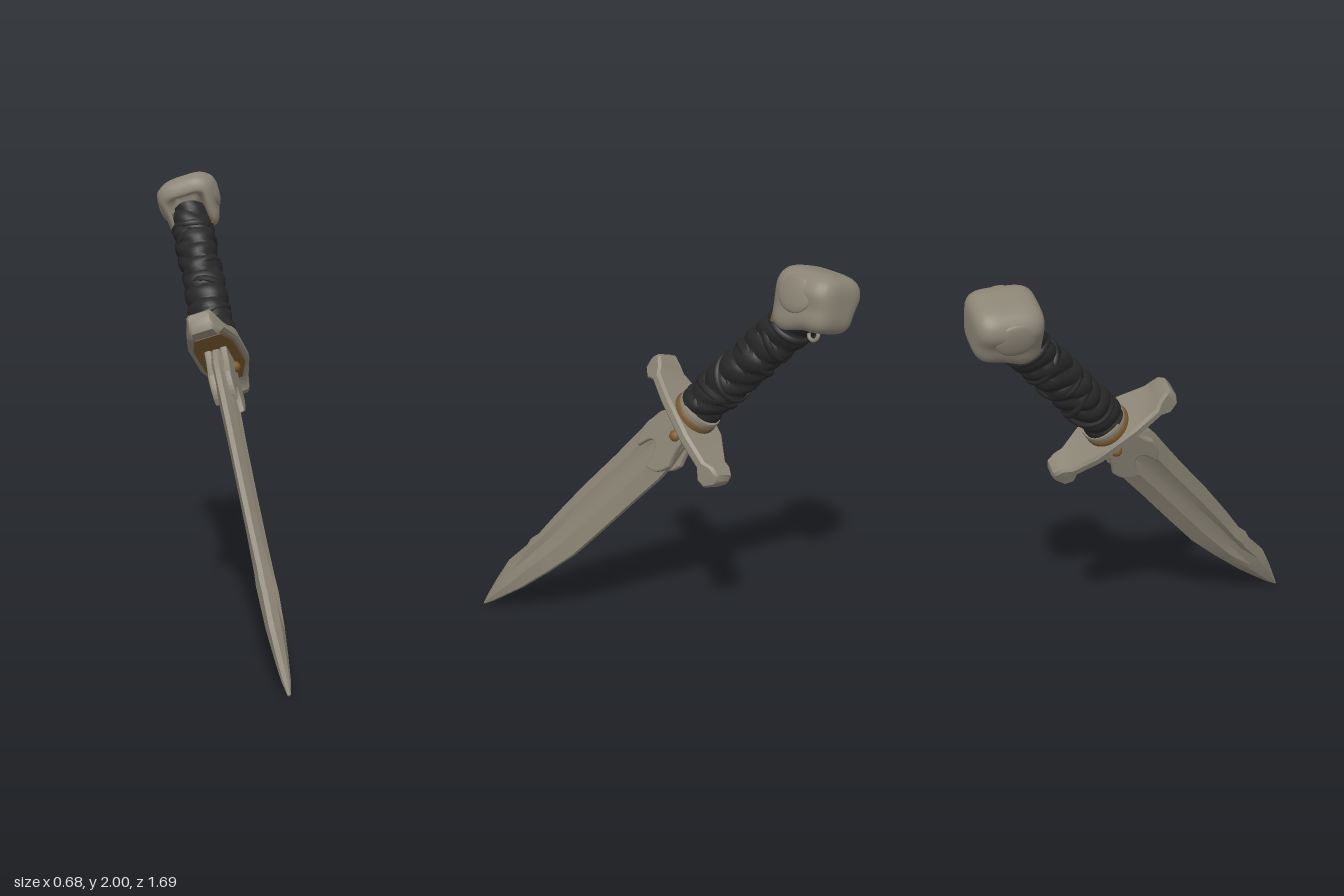
import * as THREE from 'three';
import { toCreasedNormals } from 'three/addons/utils/BufferGeometryUtils.js';

const mat = (name, color) => Object.assign(new THREE.MeshStandardMaterial({ color }), { name });

// Skin a list of closed rings (arrays of [x, y, z]), cap both ends, face outward
function loft(rings, crease = 0.6) {
  const n = rings[0].length, pos = rings.flat(2), idx = [];
  for (let r = 0; r < rings.length - 1; r++) {
    for (let i = 0; i < n; i++) {
      const a = r * n + i, b = r * n + (i + 1) % n;
      idx.push(a, b, b + n, a, b + n, a + n);
    }
  }
  [0, rings.length - 1].forEach((r, end) => {
    const c = pos.length / 3;
    pos.push(...[0, 1, 2].map(k => rings[r].reduce((s, p) => s + p[k], 0) / n));
    for (let i = 0; i < n; i++) {
      const a = r * n + i, b = r * n + (i + 1) % n;
      idx.push(...(end ? [c, a, b] : [c, b, a]));
    }
  });
  let vol = 0;
  const p = i => new THREE.Vector3().fromArray(pos, i * 3);
  for (let i = 0; i < idx.length; i += 3) vol += p(idx[i]).dot(p(idx[i + 1]).cross(p(idx[i + 2])));
  if (vol < 0) idx.reverse();
  const g = new THREE.BufferGeometry();
  g.setAttribute('position', new THREE.Float32BufferAttribute(pos, 3));
  g.setIndex(idx);
  return toCreasedNormals(g, crease);
}

export function createModel() {
  const steel = mat('weathered steel', 0x8c8576);
  const leather = mat('black leather', 0x272727);
  const bronze = mat('bronze', 0x7a5a30);

  const dagger = new THREE.Group();
  dagger.name = 'dagger';
  const add = (name, geo, material, parent = dagger) => {
    const m = new THREE.Mesh(geo, material);
    m.name = name;
    parent.add(m);
    return m;
  };

  // Blade: [distance from guard, front edge, back edge, half thickness]
  const blade = [
    [0.02, 0.075, 0.075, 0.042], [0.12, 0.12, 0.085, 0.045], [0.2, 0.124, 0.105, 0.042],
    [0.3, 0.118, 0.117, 0.034], [0.46, 0.11, 0.117, 0.031], [0.72, 0.104, 0.121, 0.03],
    [0.95, 0.09, 0.122, 0.031], [1.1, 0.076, 0.106, 0.034], [1.16, 0.084, 0.1, 0.037],
    [1.2, 0.073, 0.093, 0.037], [1.35, 0.078, 0.072, 0.033], [1.47, 0.05, 0.046, 0.026],
    [1.57, 0.022, 0.024, 0.018], [1.635, 0.004, 0.006, 0.006],
  ];
  add('blade', loft(blade.map(([s, f, b, t], i) => {
    const e = Math.min(0.011, t * 0.5);
    const groove = i < 10 ? t * 0.55 : t;
    const half = [[e, f], [t, f * 0.5], [groove, f * 0.2], [groove, -b * 0.12], [t, -b * 0.42], [e, -b]];
    const ring = [...half, ...half.map(([x, z]) => [-x, z]).reverse()];
    return ring.map(([x, z]) => [x, -s, z]);
  }), 0.45), steel);

  // Raised, curled langets on both faces of the blade root
  const lang = new THREE.Shape();
  lang.moveTo(-0.07, 0);
  lang.lineTo(0.075, 0);
  lang.quadraticCurveTo(0.07, -0.09, 0.1, -0.15);
  lang.quadraticCurveTo(0.1, -0.22, 0.055, -0.26);
  lang.quadraticCurveTo(0.05, -0.16, 0.0, -0.17);
  lang.quadraticCurveTo(-0.04, -0.2, -0.05, -0.27);
  lang.quadraticCurveTo(-0.11, -0.25, -0.115, -0.17);
  lang.quadraticCurveTo(-0.07, -0.09, -0.07, 0);
  const langGeo = new THREE.ExtrudeGeometry(lang, {
    depth: 0.012, bevelEnabled: true, bevelSize: 0.008, bevelThickness: 0.01, bevelSegments: 2, curveSegments: 6,
  });
  for (const side of [1, -1]) {
    const l = add('langet', langGeo, steel);
    l.rotation.y = side * Math.PI / 2;
    l.position.set(side * 0.03, -0.02, 0);
    if (side > 0) l.scale.x = -1;
    const stud = add('bronzeStud', new THREE.SphereGeometry(0.026, 12, 8), bronze);
    stud.position.set(side * 0.052, -0.075, -0.035);
  }

  // Cross guard: [along width, half breadth, bottom, top]
  const guard = [
    [-0.318, 0.04, -0.025, 0.012], [-0.3, 0.052, -0.066, 0.032], [-0.262, 0.062, -0.072, 0.034],
    [-0.225, 0.075, -0.035, 0.016], [-0.1, 0.115, -0.022, 0.03], [0.1, 0.115, -0.022, 0.03],
    [0.225, 0.085, -0.035, 0.014], [0.258, 0.07, -0.07, 0.03], [0.3, 0.058, -0.062, 0.038],
    [0.32, 0.046, -0.03, 0.02],
  ];
  const guardRing = ([z, w, b, t]) => {
    const c = 0.012;
    return [[w - c, t], [w, t - c], [w, b + c], [w - c, b], [c - w, b], [-w, b + c], [-w, t - c], [c - w, t]]
      .map(([x, y]) => [x, y, z]);
  };
  add('crossGuard', loft(guard.map(guardRing), 0.7), steel);

  // Bronze plate set into the underside of the guard
  const plate = [[-0.2, 0.06], [-0.1, 0.1], [0.1, 0.1], [0.2, 0.07]];
  add('guardUnderPlate', loft(plate.map(([z, w]) =>
    guardRing([z, w, Math.abs(z) > 0.15 ? -0.036 : -0.028, -0.004]))), bronze);

  // Collar between guard and grip
  const ringBand = (name, y, r, h, material) => {
    const pts = [[0, -h], [r, -h], [r * 1.05, -h * 0.4], [r * 1.05, h * 0.4], [r, h], [0, h]]
      .map(q => new THREE.Vector2(...q));
    const m = add(name, toCreasedNormals(new THREE.LatheGeometry(pts, 28), 0.7), material);
    m.position.set(0, y, 0.008);
    return m;
  };
  ringBand('bronzeCollar', 0.04, 0.099, 0.016, bronze);
  ringBand('steelCollar', 0.07, 0.096, 0.018, steel);

  // Grip wrapped in overlapping slanted leather turns
  const grip = [];
  for (let j = 0; j <= 72; j++) {
    const y = 0.08 + j / 72 * 0.69, ring = [];
    for (let i = 0; i < 32; i++) {
      const a = i / 32 * Math.PI * 2;
      const turn = y * 12 + 0.45 * Math.sin(a + 0.7) + 0.18 * Math.sin(2 * a + y * 9);
      const lap = turn - Math.floor(turn);
      const r = 0.083 + 0.014 * Math.sin(lap * Math.PI * 0.85) + 0.004 * Math.sin(y * 21 + a * 3);
      ring.push([r * Math.cos(a), y, 0.018 + r * Math.sin(a)]);
    }
    grip.push(ring);
  }
  add('grip', loft(grip, 0.8), leather);

  // Loose leather straps: [height, tilt about x, tilt about z]
  for (const [y, tx, tz] of [[0.19, 0.3, 0.2], [0.3, -0.45, -0.2], [0.44, 0.2, 0.3], [0.58, -0.3, 0.15], [0.67, 0.15, -0.2]]) {
    const strap = add('leatherStrap', new THREE.TorusGeometry(0.09, 0.011, 6, 32), leather);
    strap.rotation.set(Math.PI / 2 + tx, tz, 0);
    strap.scale.set(1, 1 / Math.cos(tx), 1.5);
    strap.position.set(0, y, 0.015);
  }

  // Hooded pommel: rounded block with side flaps and an arch in front for the grip
  const pommel = new THREE.Group();
  pommel.name = 'pommel';
  pommel.position.set(0.015, 0.838, 0.02);
  pommel.rotation.x = 0.68;
  dagger.add(pommel);
  const hood = new THREE.SphereGeometry(1, 48, 36);
  const hp = hood.attributes.position, v = new THREE.Vector3();
  for (let i = 0; i < hp.count; i++) {
    v.fromBufferAttribute(hp, i);
    const k = (e) => Math.pow(Math.abs(v.x) ** e + Math.abs(v.y) ** e + Math.abs(v.z) ** e, -1 / e);
    v.multiplyScalar(k(4));
    const low = THREE.MathUtils.smoothstep(-v.y, -0.35, 0.3);
    const mid = 1 - THREE.MathUtils.smoothstep(Math.abs(v.x), 0.45, 0.7);
    const front = THREE.MathUtils.smoothstep(v.z, -0.4, 0.5);
    const x = v.x * (1 - 0.14 * low - 0.2 * Math.max(0, v.y) ** 3);
    const y = v.y - (1 - mid) * front * low * 0.26 + mid * front * low * 0.5;
    const z = v.z - mid * front * low * 0.55;
    hp.setXYZ(i, x * 0.142, y * 0.122, z * 0.142);
  }
  hood.computeVertexNormals();
  add('pommelHood', hood, steel, pommel);

  // Raised cheek panels on the pommel sides
  const cheek = new THREE.SphereGeometry(1, 20, 14);
  for (const side of [1, -1]) {
    const c = add('pommelCheek', cheek, steel, pommel);
    c.scale.set(0.02, 0.075, 0.085);
    c.position.set(side * 0.125, 0.015, 0.01);
  }

  // Bronze lining showing inside the flaps
  for (const side of [1, -1]) {
    const l = add('hoodLining', new THREE.BoxGeometry(0.012, 0.1, 0.08), bronze, pommel);
    l.position.set(side * 0.088, -0.075, 0.085);
  }

  // Small hanging loop under the pommel
  const loop = add('hangingLoop', new THREE.TorusGeometry(0.024, 0.008, 8, 20), steel, pommel);
  loop.rotation.y = Math.PI / 2;
  loop.position.set(0, -0.135, -0.03);

  // Stand the dagger in its slanted pose, point down and forward
  const up = new THREE.Vector3(-0.214, 0.746, -0.63).normalize();
  const wide = new THREE.Vector3(-0.222, 0.593, 0.778);
  wide.addScaledVector(up, -wide.dot(up)).normalize();
  const thick = new THREE.Vector3().crossVectors(up, wide);
  dagger.quaternion.setFromRotationMatrix(new THREE.Matrix4().makeBasis(thick, up, wide));
  dagger.position.set(-0.03, 1.23, -0.19);

  const model = new THREE.Group();
  model.name = 'model';
  model.add(dagger);
  return model;
}
